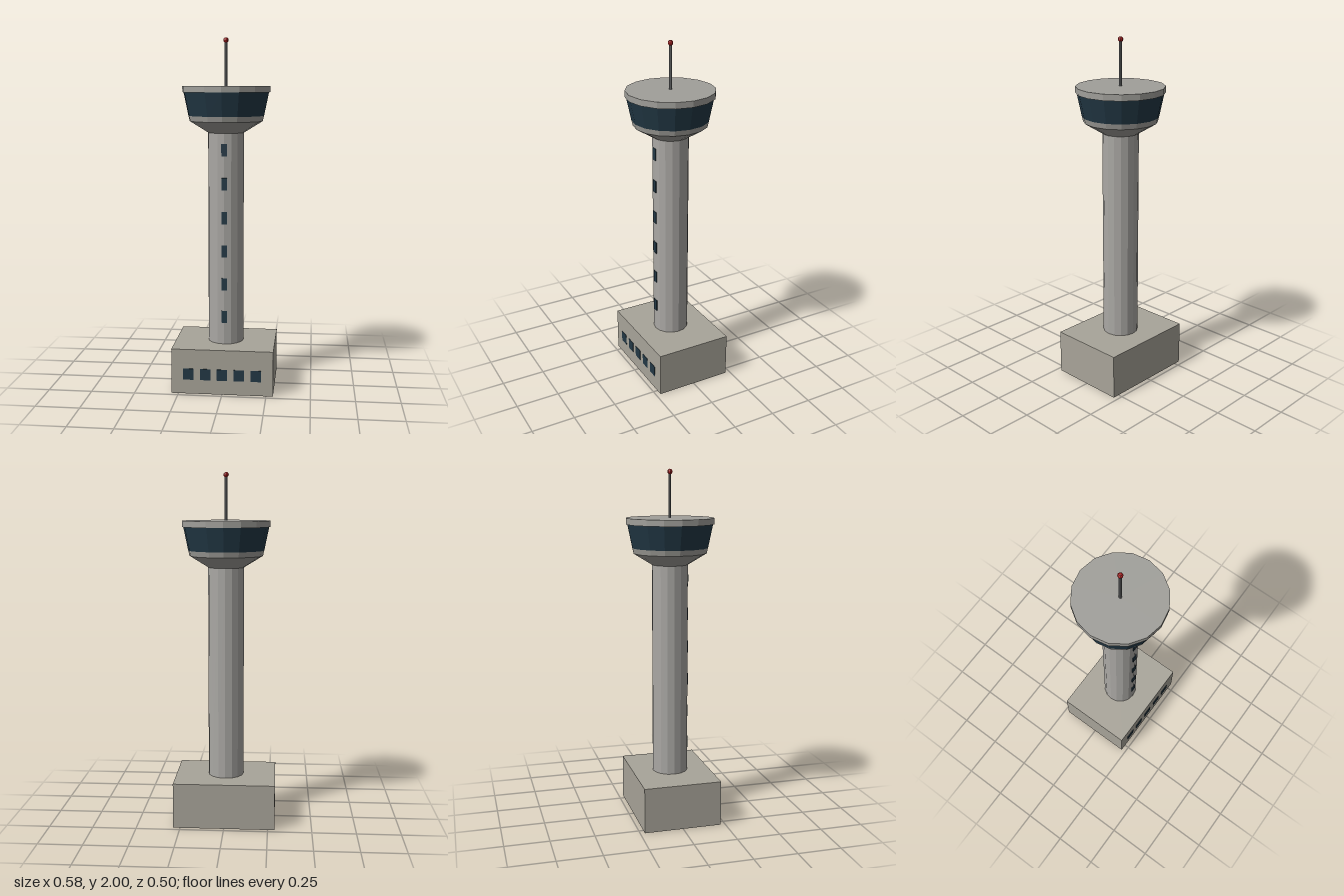
import * as THREE from 'three';

const paint = (color) => new THREE.MeshStandardMaterial({ color, flatShading: true });

export function createModel() {
  const tower = new THREE.Group();
  tower.name = 'controlTower';

  const stone = paint(0xa8a499);
  const concrete = paint(0xaaa8a4);
  const trim = paint(0xa09f9a);
  const glass = paint(0x223845);
  const metal = paint(0x7c7f80);
  const red = paint(0xb02020);

  function add(name, geometry, material, x, y, z) {
    const mesh = new THREE.Mesh(geometry, material);
    mesh.name = name;
    mesh.position.set(x, y, z);
    tower.add(mesh);
  }

  // Round section between two heights
  function drum(name, material, y0, y1, r0, r1, sides = 16) {
    add(name, new THREE.CylinderGeometry(r1, r0, y1 - y0, sides), material, 0, (y0 + y1) / 2, 0);
  }

  // Base building with its row of front windows
  add('baseBuilding', new THREE.BoxGeometry(0.578, 0.26, 0.447), stone, 0, 0.13, 0);
  const baseWindow = new THREE.BoxGeometry(0.06, 0.065, 0.01);
  for (let i = -2; i <= 2; i++) add('baseWindow', baseWindow, glass, i * 0.096, 0.115, 0.221);

  // Shaft with a column of slit windows
  drum('shaft', concrete, 0.26, 1.472, 0.102, 0.102);
  const shaftWindow = new THREE.BoxGeometry(0.032, 0.07, 0.01);
  for (let i = 0; i < 6; i++) add('shaftWindow', shaftWindow, glass, 0, 0.422 + i * 0.1914, 0.099);

  // Cab: flared underside, sill, glazing and roof
  drum('cabUnderside', trim, 1.472, 1.537, 0.102, 0.208);
  drum('cabSill', trim, 1.537, 1.567, 0.208, 0.215);
  drum('cabGlazing', glass, 1.567, 1.698, 0.215, 0.242);
  drum('cabRoof', trim, 1.698, 1.733, 0.249, 0.249);

  // Mast and warning light
  drum('mast', metal, 1.733, 1.985, 0.008, 0.008, 8);
  add('warningLight', new THREE.SphereGeometry(0.015, 8, 6), red, 0, 1.985, 0);

  return tower;
}
